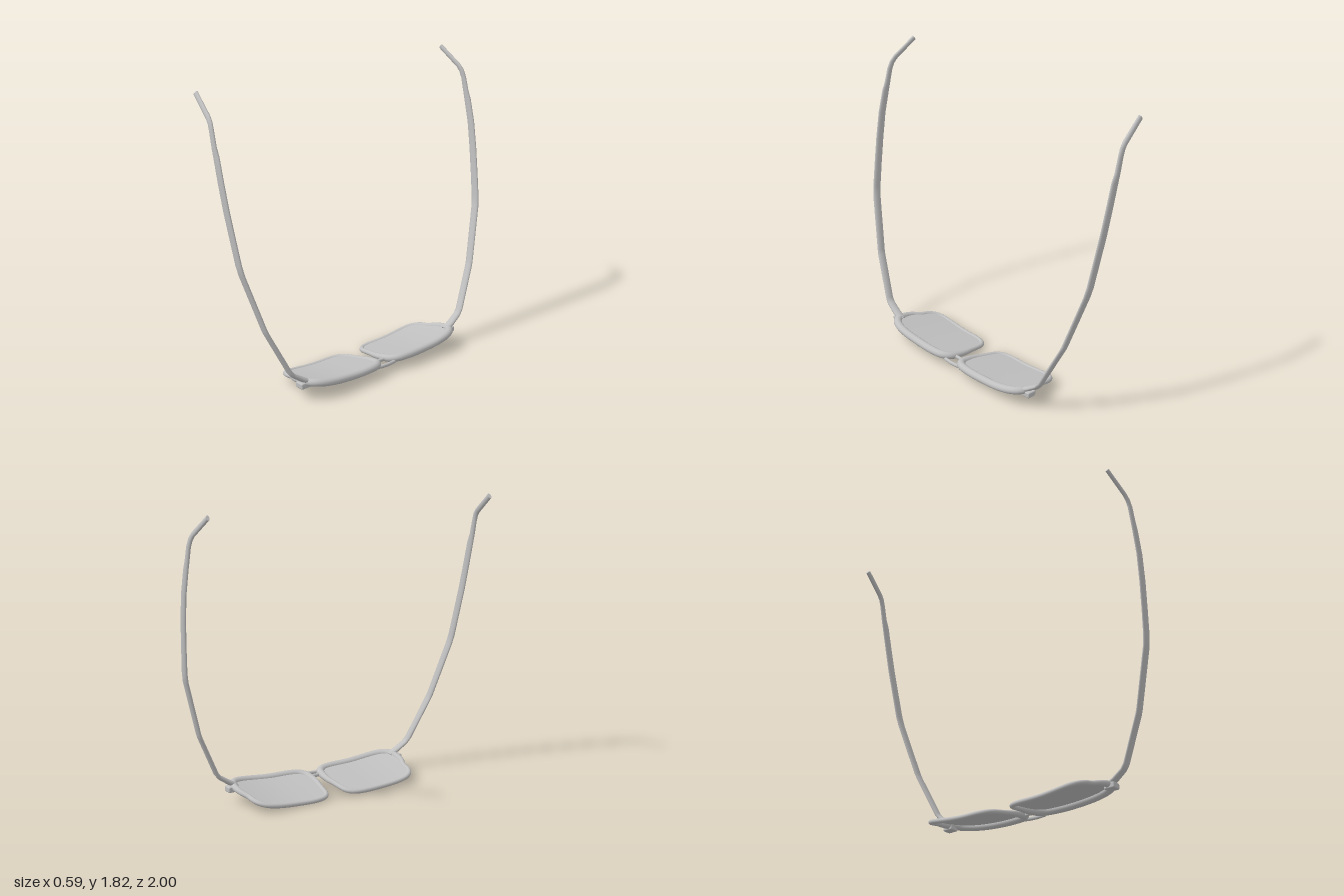
import * as THREE from 'three';
import { RoundedBoxGeometry } from 'three/addons/geometries/RoundedBoxGeometry.js';

const V = (x, y, z) => new THREE.Vector3(x, y, z);

function indexed(positions, index) {
  const g = new THREE.BufferGeometry();
  g.setAttribute('position', new THREE.Float32BufferAttribute(positions, 3));
  g.setIndex(index);
  g.computeVertexNormals();
  return g;
}

// Sweeps an ellipse along points; size(i) gives half axes [along ref, across ref].
function sweep(points, ref, size, closed = false, sides = 14) {
  const pos = [], index = [], n = points.length;
  for (let i = 0; i < n; i++) {
    const prev = points[closed ? (i + n - 1) % n : Math.max(i - 1, 0)];
    const next = points[closed ? (i + 1) % n : Math.min(i + 1, n - 1)];
    const t = next.clone().sub(prev).normalize();
    const u = ref.clone().addScaledVector(t, -t.dot(ref)).normalize();
    const v = t.clone().cross(u);
    const [a, b] = size(i);
    for (let j = 0; j < sides; j++) {
      const k = j / sides * Math.PI * 2;
      const p = points[i].clone().addScaledVector(u, a * Math.cos(k)).addScaledVector(v, b * Math.sin(k));
      pos.push(p.x, p.y, p.z);
    }
  }
  for (let i = 0; i < (closed ? n : n - 1); i++) {
    for (let j = 0; j < sides; j++) {
      const a = i * sides + j, b = i * sides + (j + 1) % sides;
      const c = ((i + 1) % n) * sides + (j + 1) % sides, d = ((i + 1) % n) * sides + j;
      index.push(a, b, c, a, c, d);
    }
  }
  // End caps with their own vertices, so their edges stay sharp
  if (!closed) {
    for (const i of [0, n - 1]) {
      const base = pos.length / 3;
      pos.push(...pos.slice(i * sides * 3, (i + 1) * sides * 3));
      for (let j = 1; j < sides - 1; j++) {
        if (i) index.push(base, base + j, base + j + 1);
        else index.push(base, base + j + 1, base + j);
      }
    }
  }
  return indexed(pos, index);
}

// Mirrors a geometry across z = 0, keeping faces outward
function mirrorZ(geometry) {
  const g = geometry.clone().scale(1, 1, -1);
  const ix = g.index;
  for (let i = 0; i < ix.count; i += 3) {
    const b = ix.getX(i + 1);
    ix.setX(i + 1, ix.getX(i + 2));
    ix.setX(i + 2, b);
  }
  return g;
}

// Tilted, wrapped surface that the rims and lenses follow
const frontY = (x, z) => 0.02 + 0.16 * (x + 0.1) + 0.045 * Math.max(0, (z - 0.2) / 0.4) ** 2;

export function createModel() {
  const group = new THREE.Group();
  const grey = new THREE.MeshStandardMaterial({ color: 0xc0c0c0, side: THREE.DoubleSide });
  grey.name = 'lightGrey';

  const add = (name, geometry) => {
    const m = new THREE.Mesh(geometry, grey);
    m.name = name;
    group.add(m);
  };
  const addPair = (name, geometry) => {
    add(name + 'Front', geometry);
    add(name + 'Back', mirrorZ(geometry));
  };

  // Rim centre line
  const outline = new THREE.CatmullRomCurve3([
    [-0.1, 0.3], [-0.1, 0.15], [-0.085, 0.1], [-0.055, 0.073], [-0.01, 0.062], [0.05, 0.053], [0.1, 0.044],
    [0.17, 0.044], [0.22, 0.055], [0.253, 0.09], [0.267, 0.16], [0.268, 0.3], [0.267, 0.44], [0.254, 0.515],
    [0.23, 0.56], [0.19, 0.585], [0.13, 0.592], [0.08, 0.585], [0.03, 0.566], [-0.025, 0.56],
    [-0.065, 0.54], [-0.09, 0.505], [-0.1, 0.45],
  ].map(([x, z]) => V(x, 0, z)), true).getSpacedPoints(80).slice(0, 80);
  outline.forEach(p => { p.y = frontY(p.x, p.z); });

  // Rim, thicker along the brow
  addPair('rim', sweep(outline, V(0, 1, 0), i => {
    const k = THREE.MathUtils.smoothstep(outline[i].x, 0, 0.26);
    return [0.015 + 0.009 * k, 0.016 + 0.01 * k];
  }, true));

  // Lens made of shrinking rings, set high in the rim
  const pos = [], index = [], n = outline.length, rings = 8;
  for (let r = 0; r <= rings; r++) {
    const s = 1 - r / rings;
    for (const p of outline) {
      const x = 0.085 + (p.x - 0.085) * s, z = 0.315 + (p.z - 0.315) * s;
      pos.push(x, frontY(x, z) + 0.008, z);
    }
  }
  for (let r = 0; r < rings; r++) {
    for (let j = 0; j < n; j++) {
      const a = r * n + j, b = r * n + (j + 1) % n;
      index.push(a, b, a + n);
      if (r < rings - 1) index.push(b, b + n, a + n);
    }
  }
  const lens = indexed(pos, index);
  // Lens faces turn upward
  if (lens.attributes.normal.getY(0) < 0) {
    lens.setIndex(index.reverse());
    lens.computeVertexNormals();
  }
  addPair('lens', lens);

  // Temple arm: x, y, z, half width, half thickness
  const arm = [
    [0.19, 0.105, 0.565, 0.027, 0.015], [0.188, 0.135, 0.62, 0.027, 0.016],
    [0.183, 0.175, 0.68, 0.026, 0.014], [0.178, 0.205, 0.705, 0.026, 0.013],
    [0.135, 0.46, 0.828, 0.027, 0.012], [0.129, 0.49, 0.84, 0.027, 0.012],
    [0.07, 0.83, 0.942, 0.028, 0.012], [0.058, 0.89, 0.953, 0.028, 0.012],
    [0.03, 1.04, 0.967, 0.028, 0.011], [-0.001, 1.2, 0.981, 0.028, 0.011],
    [-0.032, 1.36, 0.989, 0.027, 0.011], [-0.066, 1.5, 0.989, 0.026, 0.011],
    [-0.083, 1.55, 0.989, 0.021, 0.011], [-0.105, 1.64, 0.987, 0.019, 0.011],
    [-0.122, 1.682, 0.983, 0.019, 0.011], [-0.145, 1.71, 0.979, 0.018, 0.011],
    [-0.285, 1.815, 0.957, 0.017, 0.011],
  ];
  addPair('temple', sweep(arm.map(([x, y, z]) => V(x, y, z)), V(1, 0, 0), i => [arm[i][3], arm[i][4]]));

  // Hinge block at the outer end of each rim
  const hinge = new RoundedBoxGeometry(0.06, 0.037, 0.07, 2, 0.008).translate(0.178, 0.093, 0.6);
  if (!hinge.index) hinge.setIndex([...Array(hinge.attributes.position.count).keys()]);
  addPair('hinge', hinge);

  // Double bridge
  const bar = (x, bow, y, half) => sweep(
    [-1, -0.6, 0, 0.6, 1].map(t => V(x + bow * (1 - t * t), y, t * half)), V(0, 1, 0), () => [0.012, 0.01]);
  add('upperBridge', bar(0.25, 0.012, 0.06, 0.078));
  add('lowerBridge', bar(0.2, -0.008, 0.064, 0.055));

  return group;
}
